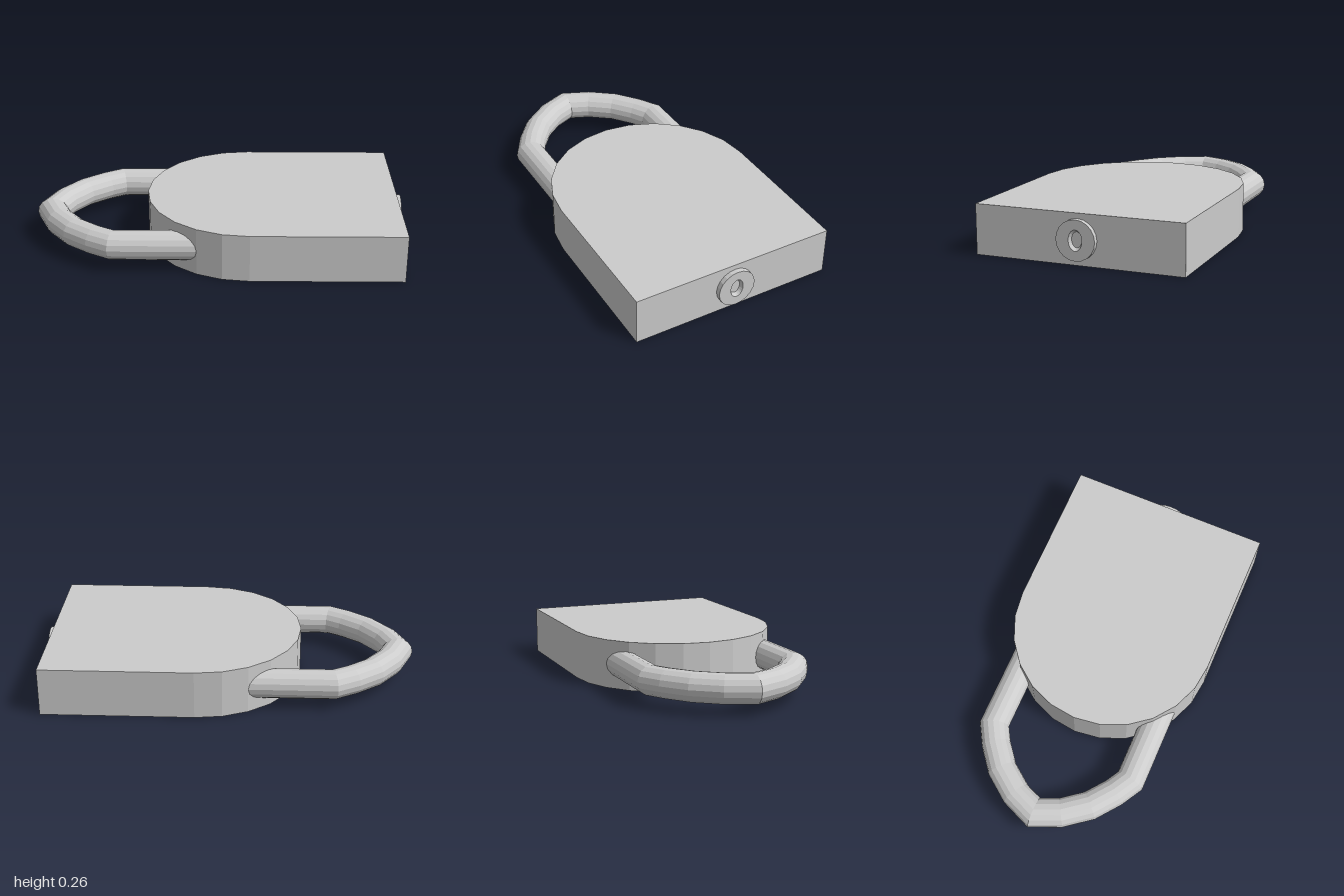
import * as THREE from 'three';

const MID = 0.13; // mid height of the lock

// Skin a list of equally sized point rings
function loft(rings) {
  const n = rings[0].length, index = [];
  for (let i = 0; i < rings.length - 1; i++) {
    for (let j = 0; j < n; j++) {
      const k = (j + 1) % n, a = i * n, b = a + n;
      index.push(a + j, a + k, b + k, a + j, b + k, b + j);
    }
  }
  const g = new THREE.BufferGeometry();
  g.setAttribute('position', new THREE.Float32BufferAttribute(rings.flat(2), 3));
  g.setIndex(index);
  g.computeVertexNormals();
  return g;
}

// Ring around (x, z) at mid height: the side vector (sx, sz) spans its width, ry its height
function ring(x, z, sx, sz, ry, n) {
  return Array.from({ length: n }, (_, j) => {
    const a = (j / n) * Math.PI * 2, c = Math.cos(a);
    return [x + sx * c, MID + ry * Math.sin(a), z + sz * c];
  });
}

// Round bar along a polyline in the xz plane, with mitred corners
function mitredBar(path, r, sides) {
  const normals = path.slice(1).map(([x, z], i) =>
    new THREE.Vector2(z - path[i][1], path[i][0] - x).normalize());
  return loft(path.map(([x, z], i) => {
    const p = normals[Math.max(i - 1, 0)], q = normals[Math.min(i, normals.length - 1)];
    const m = p.clone().add(q).multiplyScalar(r / (1 + p.dot(q)));
    return ring(x, z, m.x, m.y, r, sides);
  }));
}

export function createModel() {
  const group = new THREE.Group();
  const material = new THREE.MeshStandardMaterial({ color: 0xcccccc, flatShading: true });
  const add = (name, geometry) => {
    const mesh = new THREE.Mesh(geometry, material);
    mesh.name = name;
    group.add(mesh);
    return mesh;
  };

  // Body: a slab with one rounded end
  const R = 0.552, cx = 0.167, end = 0.973;
  const outline = [new THREE.Vector2(end, -R), new THREE.Vector2(end, R)];
  for (let i = 0; i <= 12; i++) {
    const a = Math.PI / 2 + (i / 12) * Math.PI;
    outline.push(new THREE.Vector2(cx + R * Math.cos(a), R * Math.sin(a)));
  }
  const slab = new THREE.ExtrudeGeometry(new THREE.Shape(outline), { depth: 0.26, bevelEnabled: false });
  slab.rotateX(-Math.PI / 2);
  add('body', slab);

  // Shackle: two straight legs joined by a pointed arch
  const half = [[0.1, 0.4], [-0.555, 0.4], [-0.65, 0.345], [-0.765, 0.255], [-0.86, 0.13]];
  const mirrored = half.map(([x, z]) => [x, -z]).reverse();
  add('shackle', mitredBar([...half, [-0.915, 0], ...mirrored], 0.078, 16));

  // Key cylinder: a disc with a tapering oval recess
  const section = [
    [end - 0.01, 0.103, 0.103], [1, 0.103, 0.103],
    [1, 0.036, 0.053], [0.98, 0.027, 0.04], [0.98, 0, 0],
  ];
  add('keyCylinder', loft(section.map(([x, rz, ry]) => ring(x, 0, 0, -rz, ry, 20))));

  return group;
}
